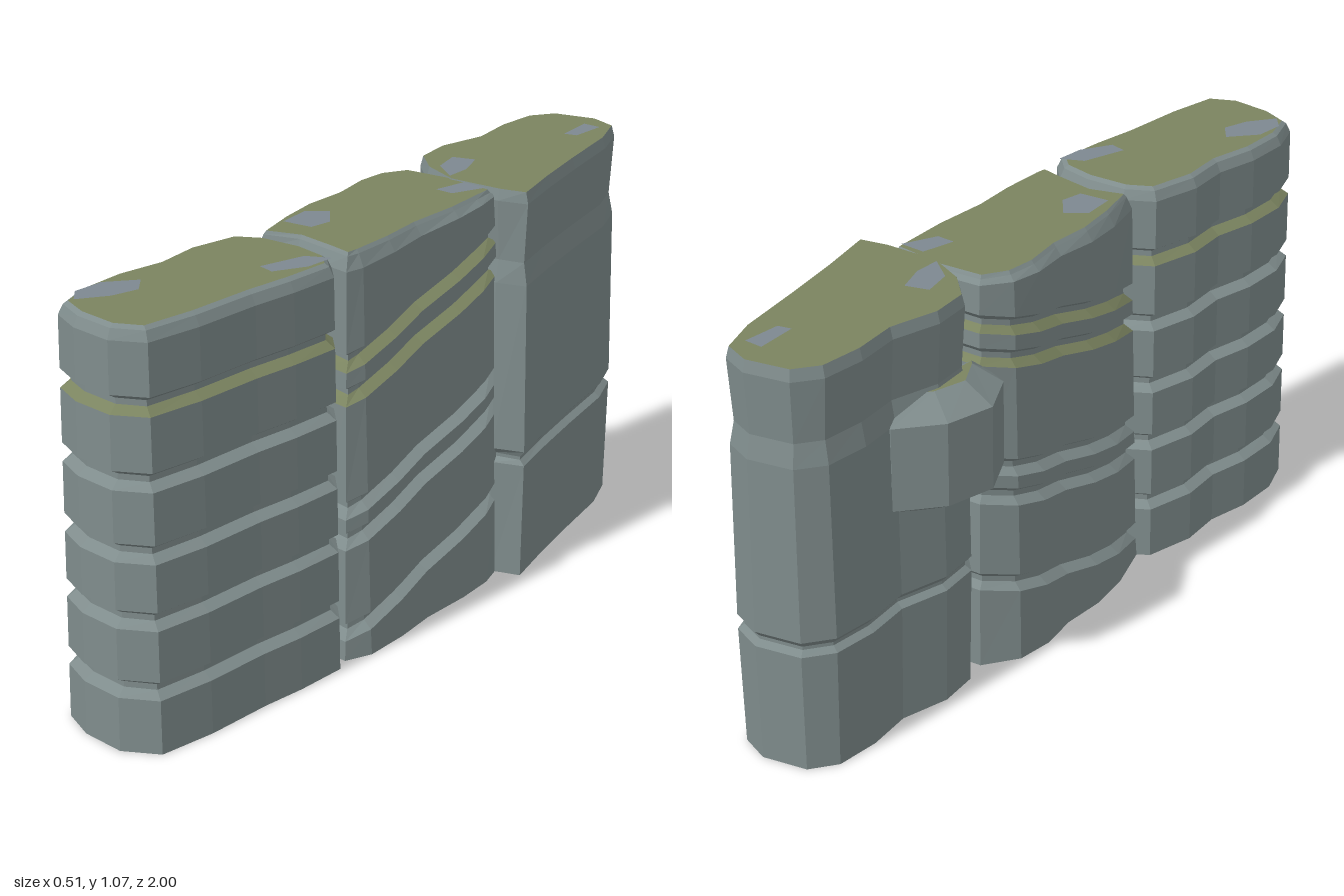
import * as THREE from 'three';
import { mergeVertices } from 'three/addons/utils/BufferGeometryUtils.js';

const mat = (name, color) => {
  const m = new THREE.MeshStandardMaterial({ color });
  m.name = name;
  return m;
};

// Outline points are given as [x, z] and turned to counter-clockwise [x, -z]
function toOutline(points) {
  const v = points.map(([x, z]) => new THREE.Vector2(x, -z));
  return THREE.ShapeUtils.area(v) < 0 ? v.reverse() : v;
}

// Moves every outline point inward along its averaged edge normal
function insetOutline(outline, d) {
  const n = outline.length;
  return outline.map((p, i) => {
    const a = outline[(i + n - 1) % n], b = outline[(i + 1) % n];
    const t = b.clone().sub(a).normalize();
    return new THREE.Vector2(p.x - t.y * d, p.y + t.x * d);
  });
}

function flatMesh(name, positions, material) {
  const g = new THREE.BufferGeometry();
  g.setAttribute('position', new THREE.Float32BufferAttribute(positions, 3));
  g.computeVertexNormals();
  const mesh = new THREE.Mesh(g, material);
  mesh.name = name;
  return mesh;
}

function capTriangles(ring, up) {
  const flat = ring.map(p => new THREE.Vector2(p.x, -p.z));
  const out = [];
  for (const [a, b, c] of THREE.ShapeUtils.triangulateShape(flat, [])) {
    for (const i of up ? [a, b, c] : [a, c, b]) out.push(ring[i].x, ring[i].y, ring[i].z);
  }
  return out;
}

// Stacks inset outlines into a rock: levels are { y, d, tilt, moss }
function rock(name, points, levels, taper, mats) {
  const group = new THREE.Group();
  group.name = name;
  const base = toOutline(points);
  const rings = levels.map(({ y, d, tilt = 0 }) =>
    insetOutline(base, d + taper * y).map(p => new THREE.Vector3(p.x, y + tilt * p.y, -p.y)));
  const stone = capTriangles(rings[0], false), moss = [];
  for (let k = 0; k + 1 < rings.length; k++) {
    const target = levels[k].moss ? moss : stone;
    const lo = rings[k], hi = rings[k + 1];
    for (let i = 0; i < lo.length; i++) {
      const j = (i + 1) % lo.length;
      for (const p of [lo[i], lo[j], hi[j], lo[i], hi[j], hi[i]]) target.push(p.x, p.y, p.z);
    }
  }
  group.add(flatMesh(name + 'Stone', stone, mats.stone));
  if (moss.length) group.add(flatMesh(name + 'MossLedges', moss, mats.moss));
  group.add(flatMesh(name + 'MossTop', capTriangles(rings[rings.length - 1], true), mats.moss));
  return group;
}

// Four levels that cut one groove around a rock
const groove = (y, depth = 0.025, tilt = 0, moss = false) => [
  { y: y - 0.024, d: 0, tilt, moss },
  { y: y - 0.006, d: depth, tilt },
  { y: y + 0.009, d: depth, tilt },
  { y: y + 0.024, d: 0, tilt },
];

export function createModel() {
  const model = new THREE.Group();
  model.name = 'rockWall';
  const mats = {
    stone: mat('stone grey', 0x7f8c8c),
    moss: mat('moss green', 0x7b8460),
    bare: mat('bare rock', 0x7d8890),
  };

  // Front rock: six even layers
  const frontOutline = [
    [-0.06, 0.99], [0.06, 1.0], [0.15, 0.95], [0.175, 0.8], [0.185, 0.62], [0.2, 0.5], [0.207, 0.36],
    [0.15, 0.3], [0.05, 0.28], [-0.07, 0.29], [-0.15, 0.34], [-0.18, 0.48], [-0.168, 0.6],
    [-0.19, 0.72], [-0.187, 0.85], [-0.15, 0.95],
  ];
  model.add(rock('frontRock', frontOutline, [
    { y: 0, d: 0 },
    ...groove(0.165), ...groove(0.345), ...groove(0.515),
    ...groove(0.695), ...groove(0.88, 0.025, 0, true),
    { y: 1.035, d: 0 }, { y: 1.06, d: 0.012 }, { y: 1.068, d: 0.024 },
  ], 0.012, mats));

  // Middle rock: layers sloping down toward the front
  const middleOutline = [
    [-0.12, 0.32], [0, 0.3], [0.1, 0.315], [0.19, 0.32], [0.22, 0.25], [0.218, 0.12], [0.205, 0],
    [0.208, -0.15], [0.2, -0.26], [0.17, -0.36], [0, -0.38], [-0.14, -0.36], [-0.2, -0.27],
    [-0.208, -0.17], [-0.188, -0.06], [-0.19, 0.06], [-0.17, 0.18],
  ];
  const slope = 0.25;
  model.add(rock('middleRock', middleOutline, [
    { y: 0, d: 0 },
    ...groove(0.155, 0.025, slope), ...groove(0.4, 0.025, slope), ...groove(0.482, 0.025, slope),
    ...groove(0.778, 0.025, slope, true), ...groove(0.865, 0.025, slope, true),
    { y: 1.035, d: 0, tilt: 0.04 }, { y: 1.058, d: 0.015 }, { y: 1.067, d: 0.022 },
  ], 0.03, mats));

  // Back rock: one groove and a narrower neck under the top
  const backOutline = [
    [0.01, -1.0], [0.095, -0.97], [0.14, -0.86], [0.18, -0.66], [0.215, -0.5], [0.253, -0.345],
    [0.17, -0.315], [0.02, -0.305], [-0.09, -0.35], [-0.165, -0.42], [-0.18, -0.53], [-0.15, -0.66],
    [-0.167, -0.78], [-0.16, -0.9], [-0.11, -0.97],
  ];
  model.add(rock('backRock', backOutline, [
    { y: 0, d: 0.006 }, { y: 0.32, d: 0 }, { y: 0.333, d: 0.016 }, { y: 0.342, d: 0.016 },
    { y: 0.36, d: 0 }, { y: 0.82, d: 0.006 }, { y: 0.88, d: 0.018 }, { y: 1.04, d: 0.008 }, { y: 1.07, d: 0.016 },
  ], 0, mats));

  // Outcrop bulging from the right side of the back rock
  const outcropOutline = [
    [-0.06, -0.68], [-0.15, -0.685], [-0.235, -0.58], [-0.262, -0.45], [-0.2, -0.335], [-0.13, -0.31], [-0.06, -0.36],
  ];
  model.add(rock('sideOutcrop', outcropOutline, [
    { y: 0.555, d: 0.075 }, { y: 0.6, d: 0 }, { y: 0.82, d: 0, moss: false }, { y: 0.87, d: 0.075 },
  ], 0, mats));

  // Bare patches showing through the moss
  const patches = [
    [[0.11, 0.37], [0.17, 0.34], [0.165, 0.42], [0.12, 0.5], [0.075, 0.49]],
    [[-0.14, 0.8], [-0.08, 0.73], [-0.04, 0.78], [-0.06, 0.85], [-0.11, 0.92], [-0.145, 0.88]],
    [[0.07, -0.31], [0.14, -0.31], [0.1, -0.22], [0.05, -0.22]],
    [[-0.1, 0.12], [-0.05, 0.08], [0, 0.14], [-0.01, 0.2], [-0.09, 0.21]],
    [[0.02, -0.92], [0.07, -0.92], [0.065, -0.82], [0.03, -0.81]],
    [[-0.08, -0.46], [-0.02, -0.48], [0.01, -0.4], [0.01, -0.33], [-0.06, -0.38]],
  ];
  patches.forEach((points, i) => {
    const ring = toOutline(points).map(p => new THREE.Vector3(p.x, 1.0725, -p.y));
    model.add(flatMesh('barePatch' + (i + 1), capTriangles(ring, true), mats.bare));
  });
  return model;
}
